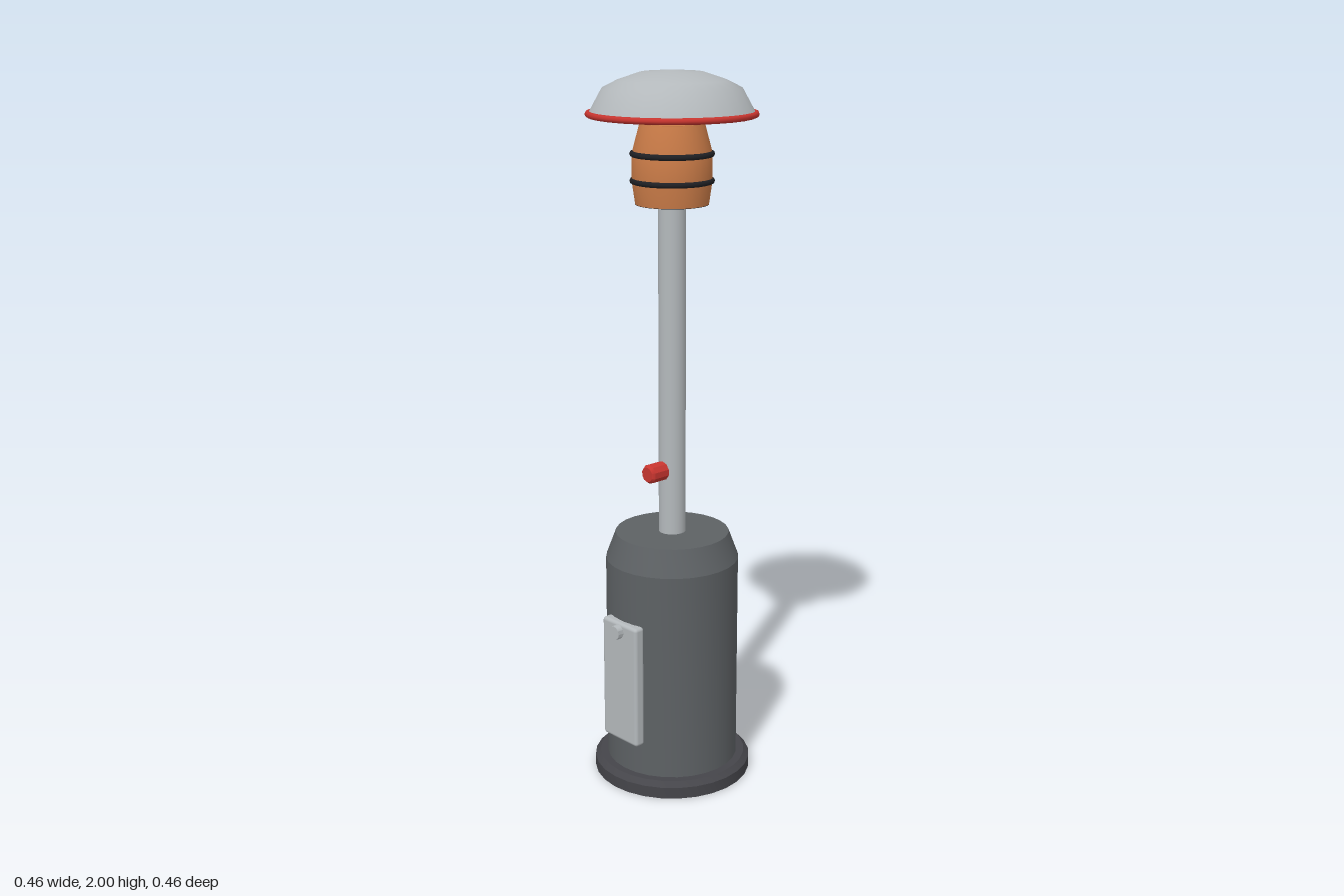
import * as THREE from 'three';
import { toCreasedNormals } from 'three/addons/utils/BufferGeometryUtils.js';
import { RoundedBoxGeometry } from 'three/addons/geometries/RoundedBoxGeometry.js';

const SIDES = 28;

function material(name, color, side = THREE.FrontSide) {
  const m = new THREE.MeshStandardMaterial({ color, side });
  m.name = name;
  return m;
}

// Turned part from [radius, height] pairs listed bottom to top
function turned(points, crease = 0.35, sides = SIDES) {
  const geo = new THREE.LatheGeometry(points.map(([r, y]) => new THREE.Vector2(r, y)), sides);
  return crease ? toCreasedNormals(geo, crease) : geo;
}

function ring(radius, tube) {
  return new THREE.TorusGeometry(radius, tube, 8, SIDES).rotateX(Math.PI / 2);
}

export function createModel() {
  const group = new THREE.Group();
  const charcoal = material('charcoal', 0x45454a);
  const grey = material('dark grey', 0x5d6164);
  const steel = material('steel', 0xb4b9bc, THREE.DoubleSide);
  const copper = material('copper', 0xcb7c48);
  const black = material('black', 0x1f2024);
  const red = material('red', 0xc8352f);

  const add = (name, geo, mat, x = 0, y = 0, z = 0) => {
    const mesh = new THREE.Mesh(geo, mat);
    mesh.name = name;
    mesh.position.set(x, y, z);
    group.add(mesh);
    return mesh;
  };

  // Foot and tank housing
  add('base', turned([[0, 0], [0.225, 0], [0.225, 0.033], [0.21, 0.047], [0, 0.047]]), charcoal);
  add('tankHousing', turned([[0.188, 0.045], [0.188, 0.65], [0.16, 0.725], [0, 0.725]]), grey);

  // Access door with its round latch
  add('door', new RoundedBoxGeometry(0.14, 0.36, 0.034, 2, 0.01), steel, 0, 0.32, 0.188);
  add('doorLatch', toCreasedNormals(new THREE.CylinderGeometry(0.02, 0.02, 0.022, 12).rotateX(Math.PI / 2), 0.6),
    steel, 0, 0.475, 0.212);

  // Pole and control knob
  add('pole', new THREE.CylinderGeometry(0.038, 0.038, 0.93, 20), steel, 0, 1.187, 0);
  const knob = turned([[0, 0], [0.027, 0], [0.027, 0.05], [0.021, 0.058], [0, 0.058]], 0.6, 10);
  add('controlKnob', knob.rotateX(Math.PI / 2), red, 0, 0.91, 0.037);

  // Burner: copper shell, dark end plates and two bands
  add('burner', turned([[0.099, 1.65], [0.108, 1.712], [0.108, 1.783], [0.087, 1.862]], 0.6), copper);
  add('burnerFloor', new THREE.CylinderGeometry(0.099, 0.099, 0.004, SIDES), black, 0, 1.651, 0);
  add('burnerTop', new THREE.CylinderGeometry(0.087, 0.087, 0.004, SIDES), copper, 0, 1.861, 0);
  for (const y of [1.712, 1.783]) add('burnerBand', ring(0.106, 0.008), black, 0, y, 0);

  // Hollow hood and its rim
  add('hood', turned([[0.222, 1.888], [0.186, 1.953], [0.145, 1.974], [0.085, 1.994], [0, 2]], 0), steel);
  add('hoodRim', ring(0.222, 0.0085), red, 0, 1.887, 0);

  return group;
}
